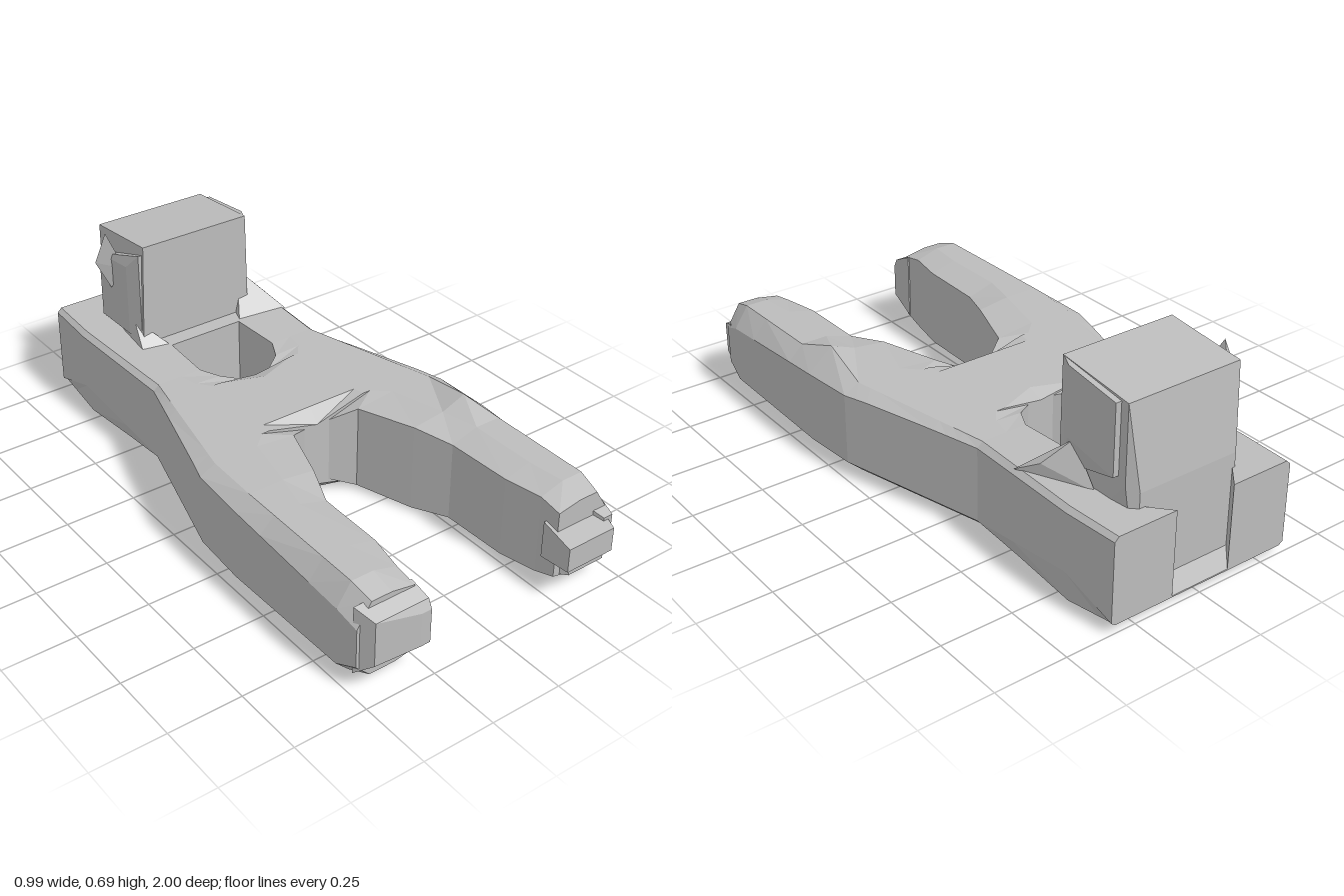
import * as THREE from 'three';
import { ConvexGeometry } from 'three/addons/geometries/ConvexGeometry.js';

const grey = new THREE.MeshStandardMaterial({ color: 0xbcbcbc });
grey.name = 'plain grey';

// Straight-line profile through [z, value] pairs
const profile = (...keys) => (z) => {
  const i = Math.max(1, keys.findIndex((k) => k[0] >= z));
  const [a, b] = [keys[i - 1], keys[i]];
  return THREE.MathUtils.mapLinear(z, a[0], b[0], a[1], b[1]);
};
const outer = profile([-1, 0.34], [-0.8, 0.35], [-0.36, 0.335], [0.15, 0.485], [0.35, 0.495], [0.85, 0.495], [0.93, 0.485]);
const topY = profile([-1, 0.33], [-0.36, 0.32], [0.35, 0.34], [0.85, 0.335], [0.93, 0.31]);
const bottomY = profile([-1, 0.03], [-0.8, 0], [-0.36, 0.02], [0.35, 0], [0.85, 0.01], [0.93, 0.045]);
const lowBevel = profile([-1, 0.01], [-0.8, 0.11], [-0.36, 0.02], [0.15, 0.05], [0.93, 0.05]);
const highBevel = profile([-1, 0.015], [0, 0.02], [0.93, 0.08]);
const bevelWidth = profile([-1, 0.015], [-0.36, 0.02], [0.15, 0.055], [0.93, 0.05]);

// Inner edge of one half, rear to front: z, x, softening of the inner rim
const innerEdge = [
  [-1, 0.11, 0], [-0.93, 0.17, 0], [-0.93, 0, 0], [-0.8, 0, 0],
  [-0.55, 0, 0], [-0.55, 0.14, 0], [-0.36, 0.15, 0], [-0.29, 0.115, 0.005], [-0.245, 0.05, 0.02],
  [-0.245, 0, 0.02], [-0.19, 0, 0], [0.06, 0, 0],
  [0.1, 0, 0.05], [0.1, 0.05, 0.05], [0.15, 0.13, 0.015], [0.35, 0.2, 0.015],
  [0.48, 0.25, 0.03], [0.72, 0.255, 0.025], [0.85, 0.28, 0.025], [0.93, 0.28, 0.015],
];

// Lofts one half of the forked body; side is +1 or -1
function forkHalf(side) {
  const rings = innerEdge.map(([z, xi, soft]) => {
    const lift = side > 0 && z === 0.35 ? 0.035 : 0; // raised ridge on one arm
    const xo = outer(z), yb = bottomY(z), yt = topY(z) + lift, c = bevelWidth(z);
    return [
      [xi, yb + soft * 0.8], [0.7 * xi + 0.3 * xo, yb], [xo - c, yb], [xo, yb + lowBevel(z)],
      [xo, yt - highBevel(z) - lift], [xo - c - lift, yt], [0.6 * xi + 0.4 * xo, yt - lift], [xi, yt - lift - soft],
    ].map(([x, y]) => [x * side, y, z]);
  });
  const pos = [];
  const tri = (a, b, c) => pos.push(...a, ...(side > 0 ? b : c), ...(side > 0 ? c : b));
  for (let k = 0; k < rings.length - 1; k++) {
    const a = rings[k], b = rings[k + 1];
    for (let i = 0; i < a.length; i++) {
      const j = (i + 1) % a.length;
      if (j === 0 && a[i][0] === 0 && b[i][0] === 0) continue; // open along the middle
      tri(a[i], a[j], b[j]);
      tri(a[i], b[j], b[i]);
    }
  }
  // End caps
  const first = rings[0], last = rings[rings.length - 1];
  for (let i = 1; i < first.length - 1; i++) {
    tri(first[0], first[i + 1], first[i]);
    tri(last[0], last[i], last[i + 1]);
  }
  const g = new THREE.BufferGeometry();
  g.setAttribute('position', new THREE.Float32BufferAttribute(pos, 3));
  g.computeVertexNormals();
  return g;
}

// Faceted solid around a few corner points
const solid = (...points) => new ConvexGeometry(points.map((p) => new THREE.Vector3(...p)));

// Tapered block through upright rectangles, each [x0, x1, y0, y1, z]
const taper = (...ends) => solid(...ends.flatMap(([x0, x1, y0, y1, z]) =>
  [[x0, y0, z], [x1, y0, z], [x0, y1, z], [x1, y1, z]]));

export function createModel() {
  const group = new THREE.Group();
  const add = (name, geometry) => {
    const mesh = new THREE.Mesh(geometry, grey);
    mesh.name = name;
    group.add(mesh);
  };

  // Forked body
  add('leftForkHalf', forkHalf(1));
  add('rightForkHalf', forkHalf(-1));

  // Floor of the rear notch
  add('notchFloor', taper([-0.17, 0.17, 0.03, 0.035, -1], [-0.17, 0.17, 0.01, 0.06, -0.92]));

  // Upright block at the rear, bulging towards its foot
  add('uprightBlock', taper(
    [-0.215, 0.22, 0.05, 0.36, -0.61], [-0.2, 0.215, 0.4, 0.692, -0.61],
    [-0.2, 0.22, 0.4, 0.665, -0.9], [-0.18, 0.19, 0.06, 0.38, -0.93]));

  // Uneven swellings and a shard on the sides of the block
  add('leftSideSwelling', taper(
    [0.2, 0.215, 0.34, 0.69, -0.615], [0.2, 0.235, 0.45, 0.685, -0.66], [0.2, 0.24, 0.42, 0.66, -0.87]));
  add('rightSideSwelling', taper(
    [-0.215, -0.19, 0.34, 0.66, -0.62], [-0.23, -0.19, 0.34, 0.6, -0.68], [-0.23, -0.19, 0.34, 0.58, -0.86]));
  add('rightSideShard', solid(
    [-0.235, 0.68, -0.8], [-0.27, 0.57, -0.82], [-0.235, 0.48, -0.78], [-0.2, 0.5, -0.88], [-0.2, 0.56, -0.74]));

  // Gussets at the foot of the block
  add('leftGusset', solid(
    [0.225, 0.45, -0.68], [0.22, 0.365, -0.61], [0.3, 0.365, -0.62],
    [0.15, 0.32, -0.56], [0.335, 0.32, -0.54], [0.225, 0.32, -0.78]));
  add('rightGusset', solid(
    [-0.22, 0.4, -0.66], [-0.2, 0.34, -0.6], [-0.14, 0.32, -0.56], [-0.24, 0.32, -0.58], [-0.22, 0.32, -0.75]));

  // Stepped tip of the left arm
  add('leftTongue', taper([0.27, 0.48, 0.11, 0.24, 0.88], [0.265, 0.45, 0.125, 0.21, 1]));
  add('leftLowerLip', taper([0.29, 0.475, 0.05, 0.11, 0.9], [0.32, 0.465, 0.06, 0.1, 0.955]));
  add('leftOuterGuard', taper([0.42, 0.484, 0.1, 0.25, 0.91], [0.44, 0.475, 0.12, 0.23, 0.965]));

  // Blunt tip of the right arm
  add('rightTongue', taper([-0.483, -0.275, 0.06, 0.3, 0.91], [-0.455, -0.265, 0.115, 0.27, 0.975], [-0.3, -0.265, 0.12, 0.24, 0.99]));

  return group;
}
